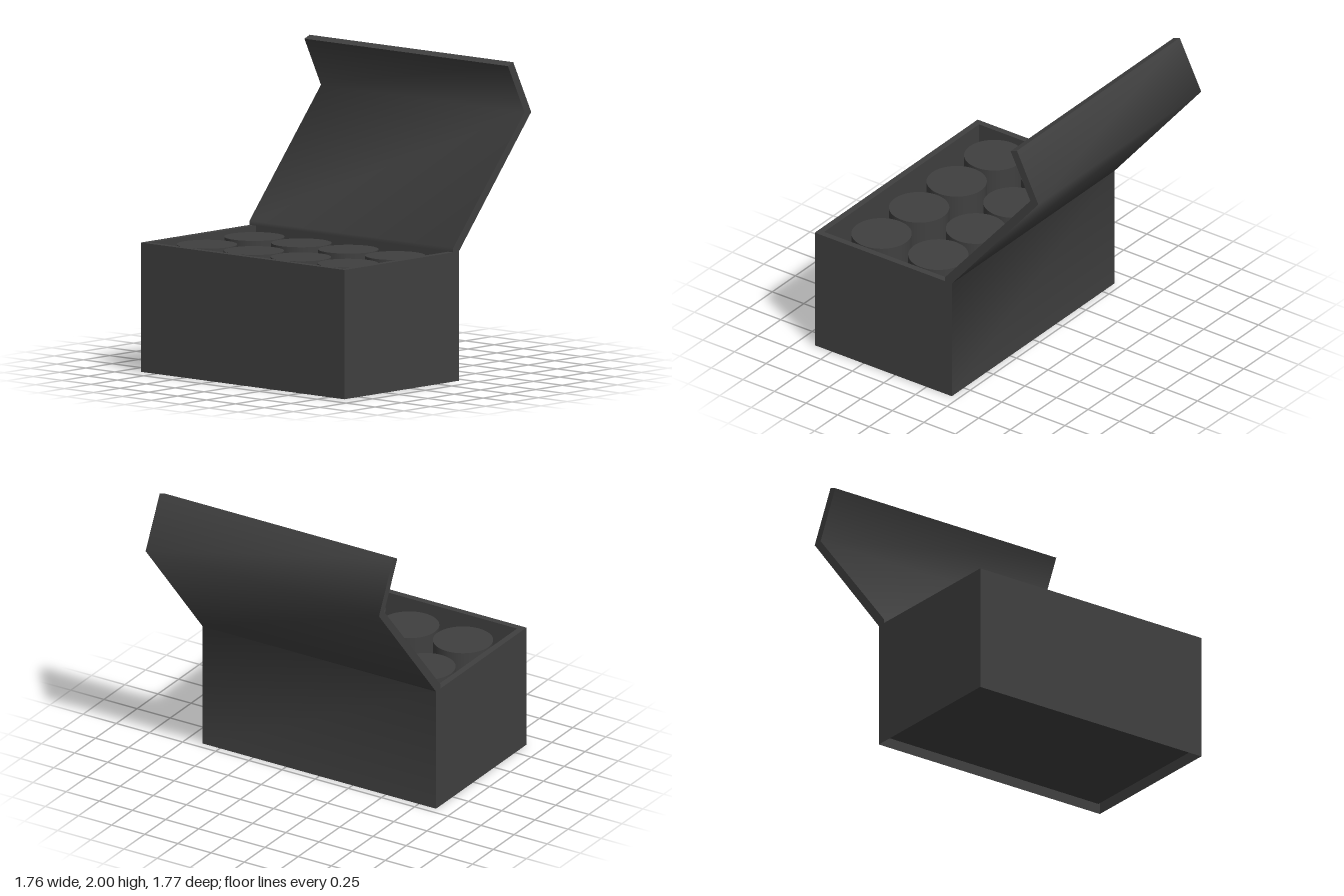
import * as THREE from 'three';
import { mergeGeometries, toCreasedNormals } from 'three/addons/utils/BufferGeometryUtils.js';

const W = 0.88, FRONT = 0.885, BACK = -0.2, H = 0.835, WALL = 0.043;

// Box shell swept through nested rectangles: outside, rim, inside, floor
function boxShell() {
  const levels = [[0, 0], [0, H], [WALL, H], [WALL, WALL]]; // inset, height
  const loops = levels.map(([i, y]) => [
    [-W + i, y, FRONT - i], [W - i, y, FRONT - i],
    [W - i, y, BACK + i], [-W + i, y, BACK + i],
  ]);
  const pos = [];
  const quad = (a, b, c, d) => pos.push(...a, ...b, ...c, ...a, ...c, ...d);
  for (let l = 0; l < 3; l++) {
    for (let k = 0; k < 4; k++) {
      const n = (k + 1) % 4;
      quad(loops[l][k], loops[l][n], loops[l + 1][n], loops[l + 1][k]);
    }
  }
  quad(...loops[3]);
  const g = new THREE.BufferGeometry();
  g.setAttribute('position', new THREE.Float32BufferAttribute(pos, 3));
  g.computeVertexNormals();
  return g;
}

// Open lid with its folded front flap, extruded across the width
function lidGeometry() {
  const profile = [ // z, y
    [BACK, H], [-0.885, 1.66], [-0.715, 2.0], [-0.665, 1.98],
    [-0.822, 1.665], [-0.145, 0.862], [-0.145, H],
  ];
  const shape = new THREE.Shape(profile.map(([z, y]) => new THREE.Vector2(-z, y)));
  const g = new THREE.ExtrudeGeometry(shape, { depth: 2 * W, bevelEnabled: false });
  g.translate(0, 0, -W);
  g.rotateY(Math.PI / 2); // shape x becomes -z
  g.deleteAttribute('uv');
  return g.index ? g.toNonIndexed() : g;
}

export function createModel() {
  const group = new THREE.Group();
  const material = new THREE.MeshStandardMaterial({ color: 0x404040, side: THREE.DoubleSide });

  // Back wall flows softly into the lid; the square edges stay sharp
  const caseGeometry = toCreasedNormals(mergeGeometries([boxShell(), lidGeometry()]), 1.3);
  const box = new THREE.Mesh(caseGeometry, material);
  box.name = 'boxWithLid';
  group.add(box);

  // Two rows of four round pots
  const top = 0.815;
  const potGeometry = new THREE.CylinderGeometry(0.193, 0.193, top - WALL, 64);
  const pots = new THREE.Group();
  pots.name = 'pots';
  for (const z of [0.105, 0.555]) {
    for (let i = 0; i < 4; i++) {
      const pot = new THREE.Mesh(potGeometry, material);
      pot.name = 'pot';
      pot.position.set((i - 1.5) * 0.406, (top + WALL) / 2, z);
      pots.add(pot);
    }
  }
  group.add(pots);
  return group;
}
